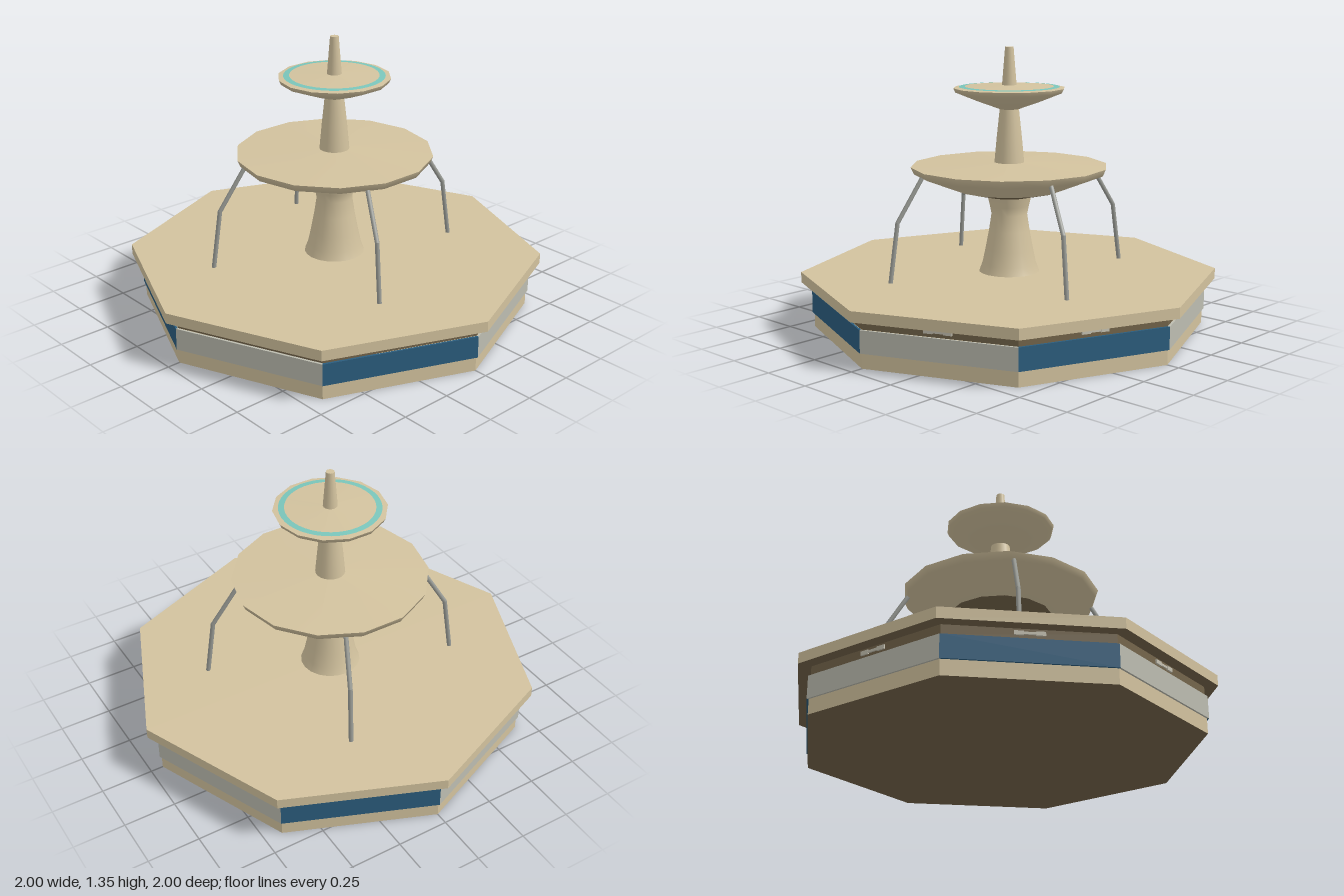
import * as THREE from 'three';

const mat = (name, color, side = THREE.FrontSide) => {
  const m = new THREE.MeshStandardMaterial({ color, side });
  m.name = name;
  return m;
};

export function createModel() {
  const model = new THREE.Group();
  model.name = 'fountain';
  const stone = mat('sandstone', 0xd2c29e);
  const darkStone = mat('dark stone', 0x73644a);
  const blue = mat('blue tile', 0x2b5d7e);
  const grey = mat('pale grey tile', 0xbcbcb0);
  const ornament = mat('ornament stone', 0xc6c2b2);
  const metal = mat('pipe metal', 0x9a9c96);
  const teal = mat('teal water', 0x7ac5ba, THREE.DoubleSide);

  const add = (name, geometry, material, parent = model) => {
    const mesh = new THREE.Mesh(geometry, material);
    mesh.name = name;
    parent.add(mesh);
    return mesh;
  };

  // Octagonal slabs, corners on the axes, with dark undersides
  const slab = (name, r, y0, y1, material) => {
    const g = new THREE.CylinderGeometry(r, r, y1 - y0, 8).toNonIndexed();
    g.computeVertexNormals();
    return add(name, g.translate(0, (y0 + y1) / 2, 0), [material, material, darkStone]);
  };
  slab('baseWall', 0.94, 0, 0.175, stone);
  slab('frieze', 0.938, 0.175, 0.22, darkStone);
  slab('rim', 1, 0.22, 0.27, stone);

  // Alternating tile panels and a small ornament on each of the eight sides
  const apothem = Math.cos(Math.PI / 8);
  const halfSide = Math.sin(Math.PI / 8);
  const outer = 0.95, inner = 0.93;
  const shape = new THREE.Shape([
    new THREE.Vector2(-outer * halfSide, -outer * apothem),
    new THREE.Vector2(outer * halfSide, -outer * apothem),
    new THREE.Vector2(inner * halfSide, -inner * apothem),
    new THREE.Vector2(-inner * halfSide, -inner * apothem),
  ]);
  const panel = new THREE.ExtrudeGeometry(shape, { depth: 0.105, bevelEnabled: false });
  panel.rotateX(-Math.PI / 2).translate(0, 0.07, 0);
  for (let i = 0; i < 8; i++) {
    const side = new THREE.Group();
    side.name = 'side' + (i + 1);
    side.rotation.y = (i + 0.5) * Math.PI / 4;
    model.add(side);
    add('tilePanel', panel, i % 2 ? blue : grey, side);

    const z = 0.938 * apothem + 0.003;
    add('ornamentBar', new THREE.BoxGeometry(0.13, 0.011, 0.008), ornament, side).position.set(0, 0.2, z);
    for (const s of [-1, 1]) {
      add('ornamentEnd', new THREE.BoxGeometry(0.04, 0.018, 0.01), ornament, side).position.set(s * 0.045, 0.2, z);
    }
  }

  // Turned parts
  const turned = (name, points, segments, material = stone) => {
    const g = new THREE.LatheGeometry(points.map(p => new THREE.Vector2(...p)), segments);
    return add(name, g.rotateY(Math.PI / 2), material);
  };
  turned('lowerColumn', [[0.145, 0.27], [0.13, 0.31], [0.115, 0.38], [0.098, 0.47],
    [0.086, 0.55], [0.094, 0.59], [0.106, 0.64]], 20);
  turned('upperColumn', [[0.072, 0.79], [0.06, 0.92], [0.045, 1.06]], 20);
  turned('finial', [[0.035, 1.16], [0.02, 1.345]], 16);
  turned('finialCap', [[0.02, 1.345], [0, 1.345]], 16);

  // Basins: smooth bowl with lip, and gently domed top
  turned('lowerBasinUnderside', [[0, 0.632], [0.1, 0.634], [0.25, 0.669]], 14, darkStone);
  turned('lowerBasinBowl', [[0.25, 0.669], [0.455, 0.75], [0.47, 0.783]], 14);
  turned('lowerBasinTop', [[0.47, 0.783], [0, 0.802]], 14);
  turned('upperBasinBowl', [[0.04, 1.05], [0.15, 1.09], [0.256, 1.133], [0.265, 1.153]], 14);
  turned('upperBasinTop', [[0.265, 1.153], [0, 1.168]], 14);

  // Thin ring of water on the top basin
  turned('waterRing', [[0.238, 1.158], [0.21, 1.16]], 42, teal);

  // Four bent pipes from the lower basin down to the deck
  const path = [[0.445, 0.75], [0.567, 0.55], [0.606, 0.265]];
  for (let i = 0; i < 4; i++) {
    const pipe = new THREE.Group();
    pipe.name = 'pipe' + (i + 1);
    pipe.rotation.y = -Math.PI / 8 + i * Math.PI / 2;
    model.add(pipe);
    for (let j = 0; j < 2; j++) {
      const a = new THREE.Vector3(...path[j], 0);
      const b = new THREE.Vector3(...path[j + 1], 0);
      const dir = b.clone().sub(a);
      const part = add('pipeSection', new THREE.CylinderGeometry(0.011, 0.011, dir.length() + 0.004, 8), metal, pipe);
      part.position.copy(a).add(b).multiplyScalar(0.5);
      part.quaternion.setFromUnitVectors(new THREE.Vector3(0, 1, 0), dir.normalize());
    }
  }
  return model;
}
